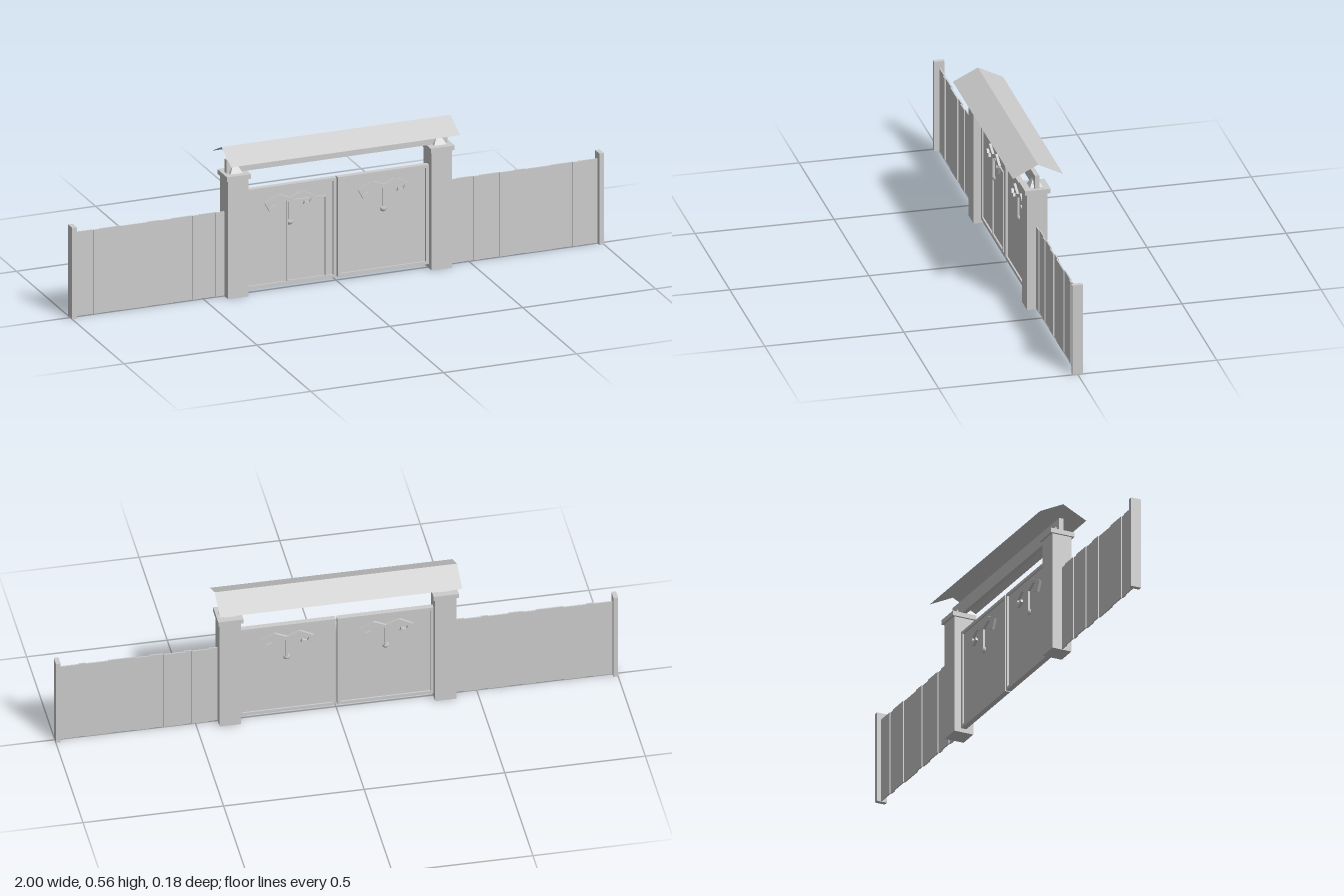
import * as THREE from 'three';

const stone = new THREE.MeshStandardMaterial({ color: 0xcccccc });
stone.name = 'light grey';
const sheet = stone.clone();
sheet.name = 'light grey sheet';
sheet.side = THREE.DoubleSide;

function add(parent, name, geometry, x = 0, y = 0, z = 0, material = stone) {
  const mesh = new THREE.Mesh(geometry, material);
  mesh.name = name;
  mesh.position.set(x, y, z);
  parent.add(mesh);
  return mesh;
}

// Box given by its x and y limits and its depth
function slab(parent, name, x0, x1, y0, y1, depth, z = 0) {
  return add(parent, name, new THREE.BoxGeometry(Math.abs(x1 - x0), y1 - y0, depth),
    (x0 + x1) / 2, (y0 + y1) / 2, z);
}

// Straight bar between two points in the gate plane
function bar(parent, name, [x0, y0], [x1, y1], width, depth) {
  const length = Math.hypot(x1 - x0, y1 - y0) + width * 0.6;
  const mesh = add(parent, name, new THREE.BoxGeometry(length, width, depth),
    (x0 + x1) / 2, (y0 + y1) / 2, 0);
  mesh.rotation.z = Math.atan2(y1 - y0, x1 - x0);
}

// Rectangular border with an open middle
function frame(parent, name, x0, x1, y0, y1, width, depth, z = 0) {
  const shape = new THREE.Shape([[x0, y0], [x1, y0], [x1, y1], [x0, y1]]
    .map(([x, y]) => new THREE.Vector2(x, y)));
  const w = width;
  shape.holes.push(new THREE.Path([[x0 + w, y0 + w], [x0 + w, y1 - w], [x1 - w, y1 - w], [x1 - w, y0 + w]]
    .map(([x, y]) => new THREE.Vector2(x, y))));
  const geometry = new THREE.ExtrudeGeometry(shape, { depth, bevelEnabled: false });
  add(parent, name, geometry, 0, 0, z - depth / 2);
}

// Horned ornament, standing out on both sides of the leaf
function ornament(parent, x) {
  const group = new THREE.Group();
  group.name = 'gateOrnament';
  group.position.x = x;
  const horn = [[0, 0.328], [0.045, 0.348], [0.088, 0.325], [0.075, 0.3], [0.055, 0.308]];
  for (const s of [-1, 1]) {
    for (let i = 0; i < horn.length - 1; i++) {
      const [a, b] = [horn[i], horn[i + 1]];
      bar(group, 'horn', [s * a[0], a[1]], [s * b[0], b[1]], 0.013, 0.026);
    }
  }
  slab(group, 'stem', -0.005, 0.005, 0.25, 0.33, 0.024);
  add(group, 'stemBall', new THREE.SphereGeometry(0.013, 12, 8), 0, 0.245, 0);
  parent.add(group);
}

export function createModel() {
  const model = new THREE.Group();
  model.name = 'gateway';

  for (const s of [-1, 1]) {
    const side = s > 0 ? 'left' : 'right';

    // Gate pillar with cap and pointed top
    const pillar = new THREE.Group();
    pillar.name = side + 'Pillar';
    slab(pillar, 'pillarShaft', s * 0.345, s * 0.421, 0, 0.44, 0.074);
    slab(pillar, 'pillarCap', s * 0.338, s * 0.428, 0.44, 0.457, 0.092);
    const point = new THREE.ConeGeometry(0.023 * Math.SQRT2, 0.043, 4, 1).toNonIndexed();
    point.rotateY(Math.PI / 4);
    point.computeVertexNormals();
    add(pillar, 'pillarPoint', point, s * 0.383, 0.4785, 0);
    model.add(pillar);

    // Fence of stepped boards, ending in a post
    const fence = new THREE.Group();
    fence.name = side + 'Fence';
    const cuts = [0.985, 0.915, 0.89, 0.81, 0.71, 0.665, 0.615, 0.54, 0.515, 0.455, 0.42];
    for (let i = 0; i < cuts.length - 1; i++) {
      slab(fence, 'fenceBoard', s * cuts[i], s * cuts[i + 1], 0.003, 0.315, 0.005, i % 2 ? 0.002 : -0.002);
    }
    slab(fence, 'endPost', s * 0.983, s, 0, 0.34, 0.038);
    model.add(fence);

    // Gate leaf: recessed panel in a raised frame
    const leaf = new THREE.Group();
    leaf.name = side + 'GateLeaf';
    const [x0, x1] = s > 0 ? [0.003, 0.345] : [-0.345, -0.003];
    slab(leaf, 'leafPanel', x0, x1, 0.017, 0.383, 0.008);
    frame(leaf, 'leafFrame', x0, x1, 0.015, 0.385, 0.011, 0.02);
    ornament(leaf, s * 0.176);
    model.add(leaf);
  }

  // Wicket door outline on the front of the right leaf
  frame(model, 'wicketFrame', -0.19, -0.038, 0.022, 0.325, 0.006, 0.006, 0.006);

  // Beam carrying the roof
  slab(model, 'ridgeBeam', -0.416, 0.416, 0.457, 0.507, 0.016);

  // Thin pitched roof
  const rise = 0.045, reach = 0.09;
  for (const s of [-1, 1]) {
    const slope = new THREE.PlaneGeometry(0.862, Math.hypot(rise, reach));
    slope.rotateX(-Math.PI / 2);
    const mesh = add(model, s > 0 ? 'frontRoofSlope' : 'backRoofSlope', slope, 0, 0.5325, s * reach / 2, sheet);
    mesh.rotation.x = s * Math.atan2(rise, reach);
  }

  return model;
}
